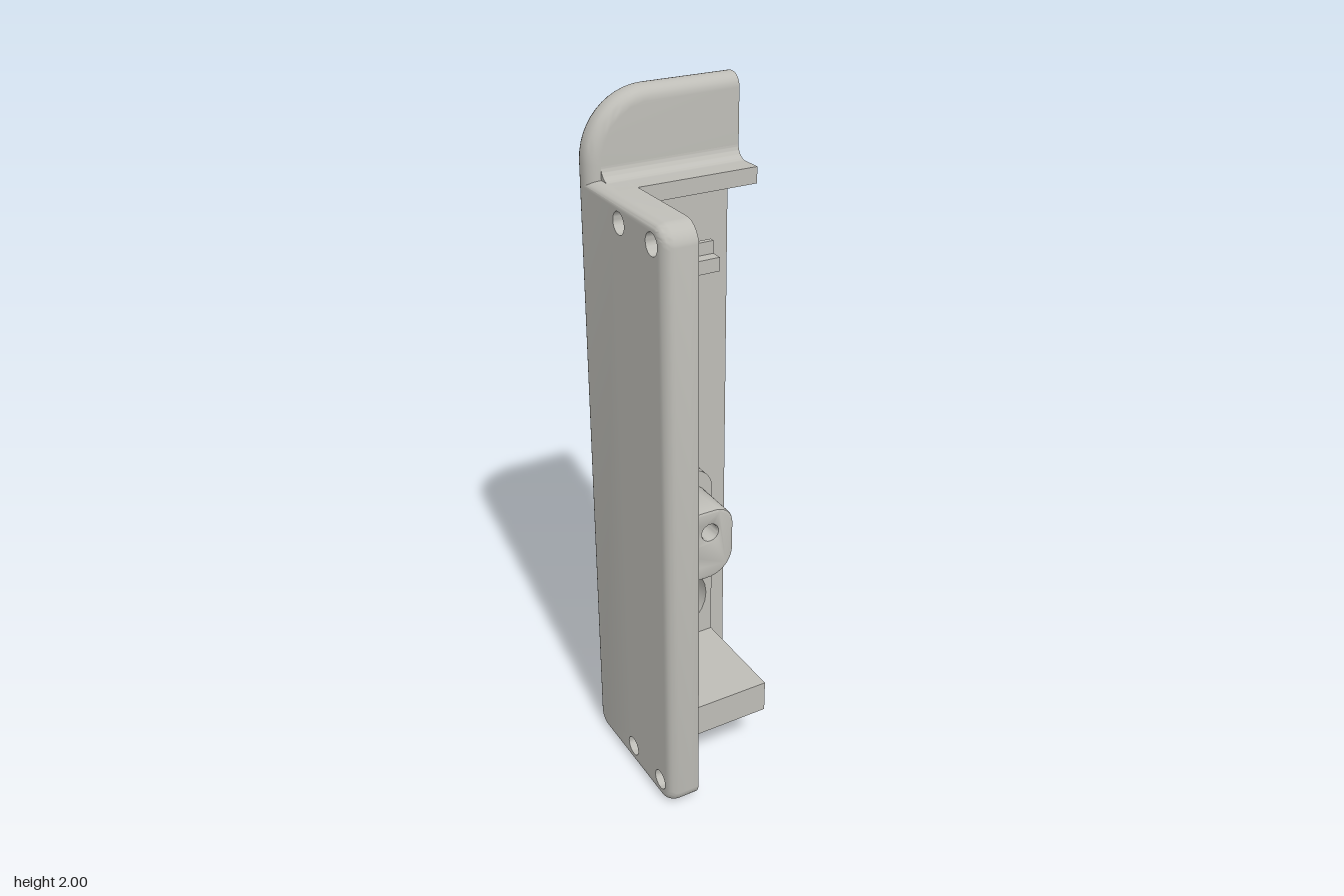
import * as THREE from 'three';
import { mergeGeometries, toCreasedNormals } from 'three/addons/utils/BufferGeometryUtils.js';

const SEG = 12;

// Closed outline from [x, y, cornerRadius] corners, counter-clockwise
function outline(corners, holes = []) {
  const s = new THREE.Shape();
  const n = corners.length;
  corners.forEach(([x, y, r = 0], i) => {
    const c = new THREE.Vector2(x, y);
    const toward = (k, d) => {
      const q = corners[(k + n) % n];
      return new THREE.Vector2(q[0], q[1]).sub(c).normalize().multiplyScalar(d).add(c);
    };
    const a = toward(i - 1, r), b = toward(i + 1, r);
    if (i === 0) s.moveTo(a.x, a.y); else s.lineTo(a.x, a.y);
    if (r > 0) {
      const ca = toward(i - 1, r * 0.4477), cb = toward(i + 1, r * 0.4477);
      s.bezierCurveTo(ca.x, ca.y, cb.x, cb.y, b.x, b.y);
    }
  });
  s.holes.push(...holes);
  return s;
}

const circle = (x, y, r) => new THREE.Path().absarc(x, y, r, 0, Math.PI * 2, true);
const rect = (x0, y0, x1, y1) => [[x0, y0], [x1, y0], [x1, y1], [x0, y1]];

function extrude(shape, z0, z1, bevel = 0) {
  return new THREE.ExtrudeGeometry(shape, {
    depth: z1 - z0 - 2 * bevel, curveSegments: SEG, bevelEnabled: bevel > 0,
    bevelSize: bevel, bevelThickness: bevel, bevelOffset: -bevel, bevelSegments: 2,
  }).translate(0, 0, z0 + bevel);
}

// Side wall joining matching rings of points at rising depths
function wall(rings, depths) {
  const pos = [], index = [], n = rings[0].length;
  rings.forEach((ring, k) => ring.forEach((p) => pos.push(p.x, p.y, depths[k])));
  for (let k = 0; k < rings.length - 1; k++) {
    for (let j = 0; j < n; j++) {
      const a = k * n + j, b = k * n + (j + 1) % n;
      index.push(a, b, b + n, a, b + n, a + n);
    }
  }
  const g = new THREE.BufferGeometry();
  g.setAttribute('position', new THREE.Float32BufferAttribute(pos, 3));
  g.setIndex(index);
  g.computeVertexNormals();
  return g.toNonIndexed();
}

// Solid whose outline shrinks by an inset at each [depth, inset] step
function loft(makeShape, steps) {
  const shapes = steps.map(([, inset]) => makeShape(inset));
  const depths = steps.map(([d]) => d);
  const parts = [wall(shapes.map((s) => s.getPoints(SEG)), depths)];
  shapes[0].holes.forEach((h, i) => {
    parts.push(wall(shapes.map((s) => s.holes[i].getPoints(SEG)), depths));
  });
  [0, shapes.length - 1].forEach((k) => {
    const cap = new THREE.ShapeGeometry(shapes[k], SEG);
    if (k === 0) cap.index.array.reverse();
    const flat = cap.toNonIndexed().translate(0, 0, depths[k]);
    flat.deleteAttribute('uv');
    parts.push(flat);
  });
  return mergeGeometries(parts);
}

// Quarter-round steps: full inset at depth z, none at z + dir * r
function roundSteps(z, r, dir) {
  const out = [];
  for (let i = 0; i <= 6; i++) {
    const t = (i / 6) * Math.PI / 2;
    out.push([z + dir * r * (1 - Math.cos(t)), r * (1 - Math.sin(t))]);
  }
  return dir > 0 ? out : out.reverse();
}

// Profiles drawn as (-z, y) run along x; profiles drawn as (x, -z) run along y
const alongX = (g) => g.rotateY(Math.PI / 2);
const alongY = (g) => g.rotateX(-Math.PI / 2);

export function createModel() {
  const model = new THREE.Group();
  const grey = new THREE.MeshStandardMaterial({ color: 0xbebdb7 });
  grey.name = 'warm grey';
  const add = (name, geometry) => {
    const mesh = new THREE.Mesh(toCreasedNormals(geometry, 0.6), grey);
    mesh.name = name;
    model.add(mesh);
  };

  // Side plate: rounded outer layer, then inner layer with a shallow pocket
  const screwHoles = () => [0, 0.17].flatMap((z) => [0.062, 1.722].map((y) => circle(-z, y, 0.03)));
  const plate = (i, extra = []) => {
    const v = i * 0.6;
    return outline([
      [-0.24 + i, v, 0.06 - i], [0.24 - i, v, 0.06 - i],
      [0.24 - i, 1.78 - v], [-0.24 + i, 1.78 - v, 0.06 - i],
    ], [...screwHoles(), ...extra]);
  };
  const pocket = outline([[-0.175, 0.86, 0.035], [0.212, 0.86], [0.212, 1.485], [-0.175, 1.485, 0.035]]);
  add('sidePlateOuter', alongX(loft((i) => plate(i), [...roundSteps(-0.22, 0.035, 1), [-0.155, 0]])));
  add('sidePlateInner', alongX(extrude(plate(0, [pocket]), -0.155, -0.13)));

  // Back wall, thin above and thick below, with a round opening
  const opening = () => circle(0.012, 0.413, 0.114);
  add('backWall', extrude(outline(rect(-0.14, 0.06, 0.22, 1.74), [opening()]), -0.24, -0.214));
  add('lowerBackWall', extrude(outline(
    [[-0.14, 0.06], [0.145, 0.06], [0.145, 0.86, 0.07], [-0.14, 0.86]], [opening()]), -0.214, -0.16));

  // Concave fillet between pocket floor and back wall
  const cove = new THREE.Shape();
  cove.moveTo(-0.157, 0.217);
  cove.lineTo(-0.04, 0.217);
  cove.lineTo(-0.04, 0.214);
  cove.absarc(-0.04, 0.1, 0.114, Math.PI / 2, Math.PI, false);
  cove.lineTo(-0.157, 0.1);
  add('pocketCove', alongY(extrude(cove, 0.86, 1.485)));

  // Top tab with one large rounded corner
  const tab = (i) => outline([
    [-0.22 + i, 1.74], [0.22, 1.74], [0.22, 2 - i], [-0.22 + i, 2 - i, 0.18 - i]]);
  add('topTab', loft(tab, [...roundSteps(-0.24, 0.035, 1), ...roundSteps(-0.16, 0.035, -1)]));

  // Ledge under the tab, blended into it
  const ledge = new THREE.Shape();
  ledge.moveTo(0.065, 1.735);
  ledge.lineTo(0.24, 1.735);
  ledge.lineTo(0.24, 1.815);
  ledge.lineTo(0.16, 1.815);
  ledge.absarc(0.125, 1.815, 0.035, 0, -Math.PI / 2, true);
  ledge.lineTo(0.065, 1.78);
  add('topLedge', alongX(extrude(ledge, -0.185, 0.22)));

  // Upper clip: step with a thin upright rib
  add('clip', alongX(extrude(outline([
    [0.125, 1.485], [0.22, 1.485], [0.22, 1.525], [0.175, 1.525],
    [0.175, 1.562], [0.16, 1.562], [0.16, 1.525], [0.125, 1.525]]), -0.14, 0.145)));

  // Mounting block with two blind holes
  add('mountingBlock', extrude(outline(
    [[-0.135, 0.58], [0.13, 0.58, 0.085], [0.13, 0.81, 0.06], [-0.135, 0.81]],
    [circle(-0.057, 0.655, 0.026), circle(0.053, 0.736, 0.026)]), -0.17, -0.01, 0.008));

  // Lower shelf with front lip and middle rib
  add('shelf', alongX(extrude(outline([
    [-0.16, 0.17], [-0.15, 0.17], [-0.15, 0.225], [-0.01, 0.225], [-0.01, 0.17], [0, 0.17],
    [0, 0.225], [0.17, 0.225], [0.17, 0.27], [-0.16, 0.27]]), -0.14, 0.145)));

  // Base block under the shelf and the pivot lug beside it
  add('baseBlock', alongX(extrude(outline(
    [[0.085, 0], [0.24, 0, 0.06], [0.24, 0.07], [0.2, 0.225], [0.085, 0.225]]), -0.185, 0.145)));
  add('pivotLug', alongX(extrude(outline(
    [[0.085, 0], [0.24, 0, 0.06], [0.24, 0.14], [0.085, 0.14, 0.05]],
    [circle(0.16, 0.08, 0.03)]), 0.145, 0.22)));

  return model;
}
